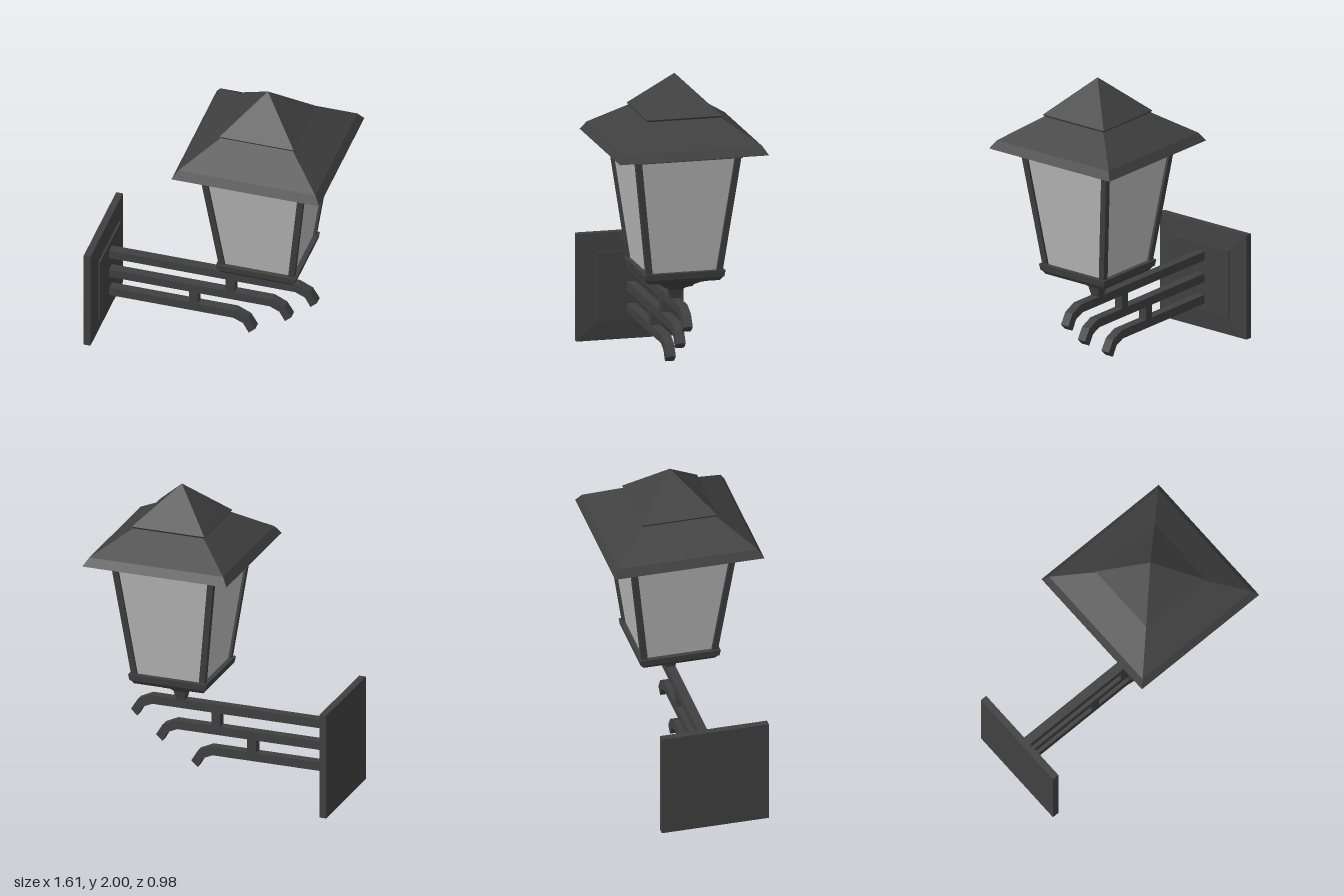
import * as THREE from 'three';

const metal = new THREE.MeshStandardMaterial({ color: 0x404040, flatShading: true });
const glass = new THREE.MeshStandardMaterial({ color: 0xb8b8b8, flatShading: true, side: THREE.DoubleSide });

// Square-section solid from [halfWidth, height] pairs, listed bottom to top
function squareLathe(name, profile, material = metal) {
  const points = profile.map(([h, y]) => new THREE.Vector2(h * Math.SQRT2, y));
  const mesh = new THREE.Mesh(new THREE.LatheGeometry(points, 4, Math.PI / 4), material);
  mesh.name = name;
  return mesh;
}

function box(name, w, h, d, x, y, z) {
  const mesh = new THREE.Mesh(new THREE.BoxGeometry(w, h, d), metal);
  mesh.name = name;
  mesh.position.set(x, y, z);
  return mesh;
}

export function createModel() {
  const model = new THREE.Group();
  model.name = 'wallLantern';

  // Wall plate: bevelled square with a raised centre, facing +x
  const plate = squareLathe('wallPlate', [
    [0, 0], [0.352, 0], [0.352, 0.045], [0.225, 0.058], [0.225, 0.07], [0, 0.07],
  ]);
  plate.rotation.z = -Math.PI / 2;
  plate.position.set(-0.805, 0.353, 0);
  model.add(plate);

  // Three bracket arms with drooping ends, stepped shorter towards the bottom
  const bracket = new THREE.Group();
  bracket.name = 'bracket';
  [[0, 0], [-0.17, -0.149], [-0.41, -0.293]].forEach(([dx, dy]) => {
    const outline = [
      [0.50, 0.472], [0.565, 0.443], [0.602, 0.377], [0.645, 0.416], [0.60, 0.49], [0.515, 0.53],
    ].map(([x, y]) => new THREE.Vector2(x + dx, y + dy));
    outline.unshift(new THREE.Vector2(-0.76, 0.472 + dy));
    outline.push(new THREE.Vector2(-0.76, 0.53 + dy));
    const geo = new THREE.ExtrudeGeometry(new THREE.Shape(outline), { depth: 0.06, bevelEnabled: false });
    geo.translate(0, 0, -0.03);
    const arm = new THREE.Mesh(geo, metal);
    arm.name = 'arm';
    bracket.add(arm);
  });
  bracket.add(
    box('upperSpacer', 0.06, 0.1, 0.06, 0.068, 0.427, 0),
    box('lowerSpacer', 0.06, 0.1, 0.06, -0.175, 0.281, 0),
  );
  model.add(bracket);

  const lantern = new THREE.Group();
  lantern.name = 'lantern';
  lantern.position.x = 0.31;

  // Stem and stepped base tray
  lantern.add(squareLathe('stem', [[0, 0.525], [0.028, 0.525], [0.042, 0.59], [0, 0.59]]));
  lantern.add(squareLathe('base', [
    [0, 0.59], [0.042, 0.59], [0.06, 0.607], [0.095, 0.622], [0.1, 0.633],
    [0.135, 0.655], [0.165, 0.667], [0.235, 0.685], [0.25, 0.708],
    [0.258, 0.712], [0.265, 0.755], [0, 0.755],
  ]));

  // Glass panes, slightly behind the corner posts
  lantern.add(squareLathe('glassPanes', [[0.233, 0.75], [0.33, 1.51]], glass));

  // Corner posts leaning outwards
  const bottom = 0.75, top = 1.51, size = 0.04;
  for (const sx of [-1, 1]) for (const sz of [-1, 1]) {
    const post = box('cornerPost', size, top - bottom, size, 0, (bottom + top) / 2, 0);
    const p = post.geometry.attributes.position;
    for (let i = 0; i < p.count; i++) {
      const c = (p.getY(i) > 0 ? 0.347 : 0.25) - size / 2;
      p.setX(i, p.getX(i) + sx * c);
      p.setZ(i, p.getZ(i) + sz * c);
    }
    lantern.add(post);
  }

  // Collar and two-tier roof
  lantern.add(squareLathe('collar', [[0, 1.505], [0.354, 1.505], [0.354, 1.55], [0, 1.55]]));
  lantern.add(squareLathe('eaves', [[0, 1.546], [0.49, 1.546], [0.455, 1.6], [0.235, 1.753], [0, 1.753]]));
  lantern.add(squareLathe('roofCap', [[0, 1.75], [0.24, 1.75], [0.247, 1.762], [0, 2]]));

  model.add(lantern);
  return model;
}
